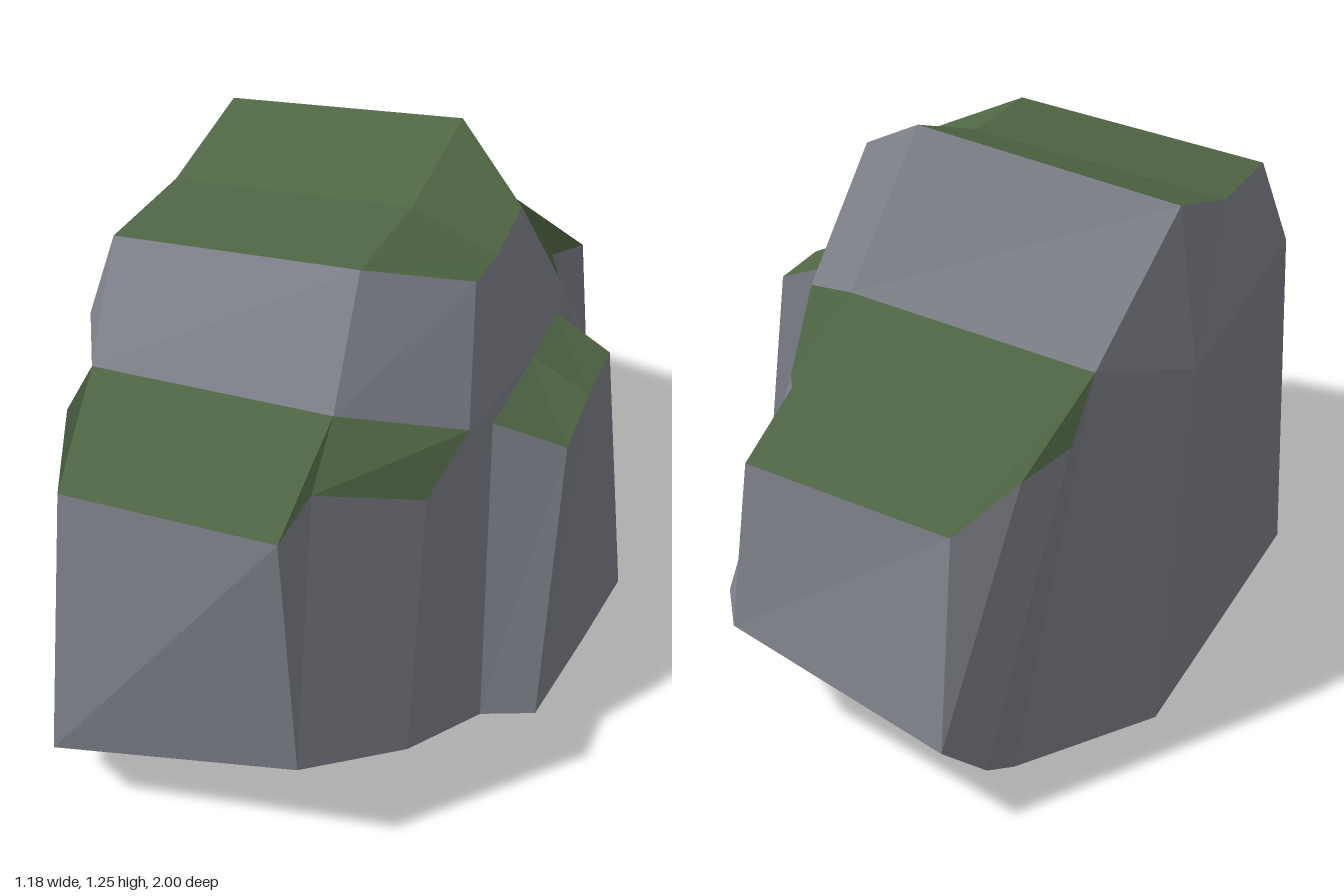
import * as THREE from 'three';

const stone = new THREE.MeshStandardMaterial({ color: 0x7c7f87 });
stone.name = 'grey stone';
const moss = new THREE.MeshStandardMaterial({ color: 0x506644 });
moss.name = 'green moss';

// Joins successive rows of points (lower to upper, running anticlockwise
// seen from above) with flat facets; repeated points collapse to triangles.
function loft(rows, closed = false) {
  const pos = [];
  const same = (a, b) => a.every((v, i) => v === b[i]);
  const tri = (a, b, c) => {
    if (!same(a, b) && !same(b, c) && !same(a, c)) pos.push(...a, ...b, ...c);
  };
  for (let r = 0; r + 1 < rows.length; r++) {
    const lo = rows[r], up = rows[r + 1], n = lo.length;
    for (let i = 0; i < (closed ? n : n - 1); i++) {
      const j = (i + 1) % n;
      tri(lo[i], lo[j], up[j]);
      tri(lo[i], up[j], up[i]);
    }
  }
  const g = new THREE.BufferGeometry();
  g.setAttribute('position', new THREE.Float32BufferAttribute(pos, 3));
  g.computeVertexNormals();
  return g;
}

function part(group, name, material, rows, closed) {
  const mesh = new THREE.Mesh(loft(rows, closed), material);
  mesh.name = name;
  group.add(mesh);
}

const back = ([x, y, z]) => [x, y, -z];

export function createModel() {
  const model = new THREE.Group();
  model.name = 'mossyRock';

  // Shared foot points, mirrored front to back
  const sideFoot = [-0.575, 0, 0.45], corner = [-0.37, 0.01, 0.76];
  const hollow = [0.11, 0.1, 0.67], cleft = [0.45, 0.04, 0.36];
  const cheek = [-0.38, 0.11, 0.915], toe = [-0.32, 0.19, 1];
  const nose = [0.24, 0.275, 0.89], hip = [0.4, 0.2, 0.67];

  // Shared ledge-height points
  const A = [-0.46, 0.88, 0.51], B = [0.14, 0.93, 0.5], C = [0.37, 0.83, 0.3];
  const Ab = [-0.45, 0.87, -0.545], Bb = [0.14, 0.93, -0.51], Cb = back(C);

  // Summit, as three rows from front to back
  const summit = [
    [[-0.525, 1.08, 0.285], [0.1, 1.16, 0.285], [0.3, 1.09, 0.12]],
    [[-0.53, 1.08, 0], [0.09, 1.16, 0], [0.3, 1.09, 0]],
    [[-0.53, 1.16, -0.29], [0.09, 1.25, -0.28], [0.3, 1.14, -0.14]],
  ];
  const [f, m, b] = summit;

  // Core of the rock
  const base = [sideFoot, corner, hollow, cleft, [0.45, 0.03, 0],
    ...[cleft, hollow, corner, sideFoot].map(back), [-0.575, 0, 0]];
  const middle = [[-0.58, 0.88, 0.33], A, B, C, [0.4, 0.84, 0],
    Cb, Bb, Ab, [-0.595, 0.82, -0.34], [-0.59, 0.85, 0]];
  const top = [f[0], f[0], f[1], f[2], m[2], b[2], b[1], b[0], b[0], m[0]];
  const centre = base.map(() => [0, 0.02, 0]);
  part(model, 'core', stone, [centre, base, middle, top], true);
  part(model, 'summitMoss', moss, summit);

  // Front ledge
  const frontRim = [[-0.42, 0.88, 0.67], [-0.31, 0.84, 0.88], [0.2, 0.88, 0.865],
    [0.19, 0.88, 0.7], [0.355, 0.77, 0.49]];
  part(model, 'frontLedge', stone, [
    [corner, corner, corner, hollow, hollow, hollow, cleft],
    [corner, cheek, toe, nose, nose, hip, cleft],
    [A, ...frontRim, C],
  ]);
  part(model, 'frontLedgeMoss', moss, [frontRim, [A, A, B, B, C]]);

  // Back ledge, lower and steeper
  const backRim = [[0.37, 0.64, -0.41], [0.2, 0.69, -0.66], [0.23, 0.64, -0.82],
    [-0.28, 0.61, -0.87], [-0.38, 0.7, -0.75], [-0.44, 0.74, -0.64]];
  part(model, 'backLedge', stone, [
    [cleft, hollow, hollow, hollow, corner, corner, corner, corner].map(back),
    [cleft, hip, nose, nose, toe, cheek, cheek, corner].map(back),
    [Cb, ...backRim, Ab],
  ]);
  part(model, 'backLedgeMoss', moss, [backRim, [Cb, Bb, Bb, Ab, Ab, Ab]]);

  // Small block against the left side
  const outer = [[0.54, 0.72, 0.13], [0.54, 0.78, 0], [0.525, 0.78, -0.18]];
  const inner = [[0.375, 0.79, 0.205], [0.395, 0.845, 0], [0.375, 0.84, -0.2]];
  const foot = [cleft, [0.568, 0.04, 0.3], [0.58, 0.03, 0], [0.588, 0.03, -0.24], back(cleft)];
  part(model, 'sideBlock', stone, [
    foot.map(() => [0.45, 0.03, 0]), foot, [inner[0], ...outer, inner[2]],
  ]);
  part(model, 'sideBlockMoss', moss, [outer, inner]);

  return model;
}
